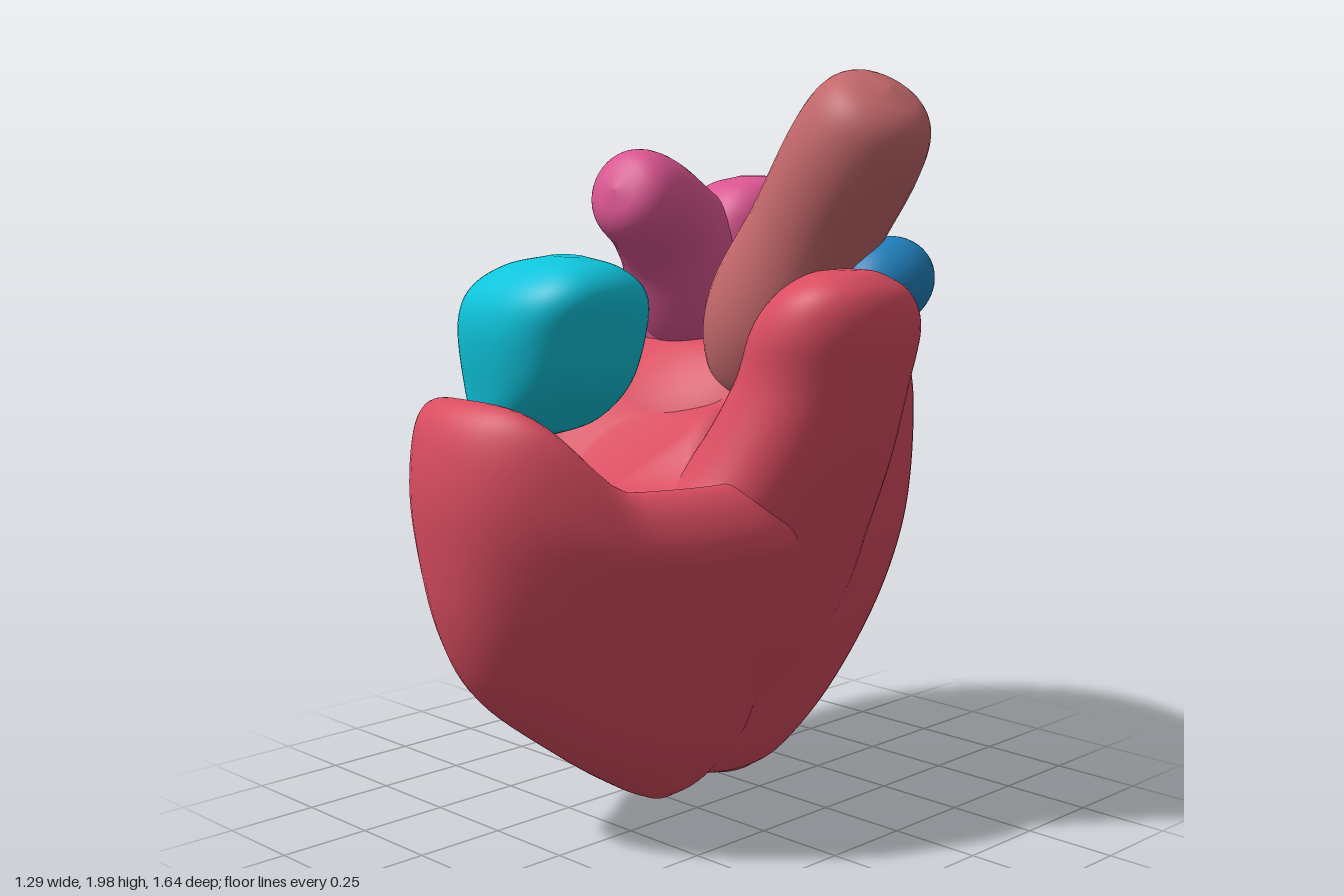
import * as THREE from 'three';
import { mergeVertices } from 'three/addons/utils/BufferGeometryUtils.js';

const RED = 0xd94c60, CYAN = 0x0fc4dc, PINK = 0xdb5591, BROWN = 0xc2676a, BLUE = 0x2080bc;
const smooth = THREE.MathUtils.smoothstep;

function makeMesh(name, color, geometry) {
  const mesh = new THREE.Mesh(geometry, new THREE.MeshStandardMaterial({ color }));
  mesh.name = name;
  return mesh;
}

// Smooth closed body through horizontal slices [y, xMin, xMax, zMin, zMax], then bent by a rule
function loft(name, color, slices, power = 2, warp = () => {}) {
  const spline = (f) => new THREE.CatmullRomCurve3(slices.map(f), false, 'catmullrom');
  const xs = spline((s) => new THREE.Vector3(s[1], s[0], s[2]));
  const zs = spline((s) => new THREE.Vector3(s[3], s[0], s[4]));
  const rows = (slices.length - 1) * 7, sides = 64;
  const pos = [], index = [], p = new THREE.Vector3();
  const add = (x, y, z) => {
    p.set(x, y, z);
    warp(p);
    pos.push(p.x, p.y, p.z);
  };
  const round = (v) => Math.sign(v) * Math.abs(v) ** (2 / power);
  for (let i = 0; i <= rows; i++) {
    const a = xs.getPoint(i / rows), b = zs.getPoint(i / rows);
    for (let j = 0; j < sides; j++) {
      const t = (j / sides) * Math.PI * 2;
      add((a.x + a.z) / 2 + ((a.z - a.x) / 2) * round(Math.cos(t)), a.y,
        (b.x + b.z) / 2 + ((b.z - b.x) / 2) * round(Math.sin(t)));
    }
  }
  for (const s of [slices[0], slices[slices.length - 1]]) add((s[1] + s[2]) / 2, s[0], (s[3] + s[4]) / 2);
  const bottom = (rows + 1) * sides, top = bottom + 1;
  for (let j = 0; j < sides; j++) {
    const k = (j + 1) % sides;
    for (let i = 0; i < rows; i++) {
      const a = i * sides, b = a + sides;
      index.push(a + j, b + j, a + k, a + k, b + j, b + k);
    }
    index.push(bottom, j, k, top, rows * sides + k, rows * sides + j);
  }
  const geometry = new THREE.BufferGeometry();
  geometry.setAttribute('position', new THREE.Float32BufferAttribute(pos, 3));
  geometry.setIndex(index);
  geometry.computeVertexNormals();
  return makeMesh(name, color, geometry);
}

// Round-ended vessel through points [x, y, z, radius]; a higher bluntness flattens the ends
function vessel(name, color, points, bluntness) {
  const path = new THREE.CatmullRomCurve3(points.map((p) => new THREE.Vector3(p[0], p[1], p[2])));
  const radii = new THREE.CatmullRomCurve3(points.map((p, i) => new THREE.Vector3(i, p[3], 0)), false, 'catmullrom');
  const steps = 80, sides = 36;
  let geometry = new THREE.TubeGeometry(path, steps, 1, sides);
  const pos = geometry.attributes.position, v = new THREE.Vector3();
  for (let i = 0; i <= steps; i++) {
    const u = i / steps, c = path.getPointAt(u);
    const end = Math.sqrt(Math.max(1e-5, 1 - Math.abs(2 * u - 1) ** bluntness));
    const r = radii.getPoint(path.getUtoTmapping(u)).y * end;
    for (let j = 0; j <= sides; j++) {
      const k = i * (sides + 1) + j;
      v.fromBufferAttribute(pos, k).sub(c).multiplyScalar(r).add(c);
      pos.setXYZ(k, v.x, v.y, v.z);
    }
  }
  geometry.deleteAttribute('uv');
  geometry.deleteAttribute('normal');
  geometry = mergeVertices(geometry, 1e-5);
  geometry.computeVertexNormals();
  return makeMesh(name, color, geometry);
}

export function createModel() {
  const model = new THREE.Group();
  model.name = 'heart';

  // Muscular body: two chambers and the outflow column
  const body = new THREE.Group();
  body.name = 'ventricles';
  body.add(loft('backVentricle', RED, [
    [0.02, -0.2, -0.1, -0.36, -0.2],
    [0.08, -0.3, -0.02, -0.48, -0.02],
    [0.25, -0.39, 0.09, -0.62, 0.06],
    [0.5, -0.51, 0.2, -0.75, 0.1],
    [0.75, -0.61, 0.28, -0.81, 0.12],
    [1.0, -0.65, 0.31, -0.82, 0.13],
    [1.18, -0.6, 0.3, -0.78, 0.08],
    [1.3, -0.48, 0.22, -0.69, -0.02],
    [1.32, -0.4, 0.1, -0.58, -0.1],
    [1.24, -0.36, 0.02, -0.51, -0.18],
    [1.18, -0.25, -0.1, -0.42, -0.28],
  ], 2.15, (p) => {
    const high = smooth(p.y, 0.7, 1.3);
    p.y -= high * (0.12 * (p.z + 0.4) + 0.07 * smooth(-p.x, 0.3, 0.55));
  }));

  // Front chamber: narrow at the front, with its rim dipping along the sides
  body.add(loft('frontVentricle', RED, [
    [0, -0.2, -0.12, -0.04, 0.04],
    [0.05, -0.26, -0.05, -0.15, 0.14],
    [0.2, -0.31, 0.08, -0.25, 0.38],
    [0.4, -0.37, 0.2, -0.27, 0.63],
    [0.6, -0.42, 0.33, -0.28, 0.75],
    [0.85, -0.46, 0.44, -0.22, 0.81],
    [1.02, -0.46, 0.46, -0.2, 0.82],
    [1.15, -0.43, 0.43, -0.12, 0.79],
    [1.2, -0.37, 0.36, -0.06, 0.72],
    [1.14, -0.31, 0.28, 0.0, 0.64],
    [1.1, -0.2, 0.18, 0.1, 0.5],
  ], 2.2, (p) => {
    const high = smooth(p.y, 0.65, 1.2);
    const rear = smooth(p.z, 0.05, 0.4) + smooth(p.x, 0.1, 0.3) * (1 - smooth(p.z, 0.05, 0.4));
    p.y -= 0.22 * high * rear * (1 - smooth(p.z, 0.48, 0.74));
    p.x = p.x * (1 - 0.18 * smooth(p.z, 0.1, 0.5)) - 0.05 * smooth(p.z, 0.3, 0.75);
  }));

  // Column rising from the broad side wall that bridges the two chambers
  body.add(loft('outflowColumn', RED, [
    [0.12, -0.2, -0.03, -0.25, 0.08],
    [0.3, -0.2, 0.1, -0.4, 0.25],
    [0.55, -0.2, 0.28, -0.46, 0.38],
    [0.8, -0.1, 0.41, -0.42, 0.35],
    [1.0, 0.06, 0.51, -0.35, 0.24],
    [1.2, 0.18, 0.585, -0.3, 0.18],
    [1.35, 0.25, 0.63, -0.28, 0.18],
    [1.44, 0.33, 0.62, -0.22, 0.15],
    [1.49, 0.41, 0.57, -0.12, 0.08],
    [1.5, 0.46, 0.52, -0.06, 0.0],
  ], 2.1));
  model.add(body);

  // Front atrium, skewed forward towards the model's left
  model.add(loft('frontAtrium', CYAN, [
    [1.04, -0.38, -0.25, 0.28, 0.44],
    [1.09, -0.45, -0.1, 0.18, 0.53],
    [1.2, -0.485, 0.06, 0.14, 0.57],
    [1.35, -0.47, 0.13, 0.12, 0.6],
    [1.44, -0.41, 0.15, 0.15, 0.58],
    [1.5, -0.28, 0.11, 0.24, 0.51],
    [1.53, -0.1, 0.02, 0.35, 0.42],
  ], 2.5, (p) => { p.z += 0.26 * (p.x + 0.16); }));

  // Back atrium: upright chamber with a lobe reaching forward
  const atrium = new THREE.Group();
  atrium.name = 'backAtrium';
  atrium.add(loft('backAtriumChamber', PINK, [
    [1.15, -0.29, -0.05, -0.44, -0.15],
    [1.25, -0.36, 0.0, -0.49, -0.06],
    [1.38, -0.365, 0.04, -0.49, -0.04],
    [1.5, -0.3, 0.06, -0.47, -0.06],
    [1.62, -0.23, 0.065, -0.43, -0.1],
    [1.69, -0.17, 0.03, -0.38, -0.16],
    [1.715, -0.1, -0.03, -0.31, -0.25],
  ], 2.5));
  atrium.add(vessel('backAtriumLobe', PINK, [
    [-0.16, 1.3, -0.32, 0.2],
    [-0.16, 1.42, -0.18, 0.2],
    [-0.13, 1.57, -0.03, 0.155],
    [-0.09, 1.65, 0.1, 0.135],
    [-0.07, 1.69, 0.23, 0.135],
  ], 8));
  model.add(atrium);

  // Great artery leaning to the model's left, with a blunt end
  model.add(vessel('artery', BROWN, [
    [0.09, 1.12, -0.13, 0.13],
    [0.16, 1.34, -0.13, 0.19],
    [0.3, 1.58, -0.12, 0.17],
    [0.44, 1.78, -0.11, 0.17],
    [0.56, 1.94, -0.1, 0.15],
  ], 12));

  // Small ear-shaped pouch behind the outflow column
  const pouch = makeMesh('pouch', BLUE, new THREE.SphereGeometry(1, 36, 24));
  pouch.scale.set(0.115, 0.115, 0.145);
  pouch.position.set(0.445, 1.455, -0.23);
  pouch.rotation.x = 0.25;
  model.add(pouch);
  return model;
}
